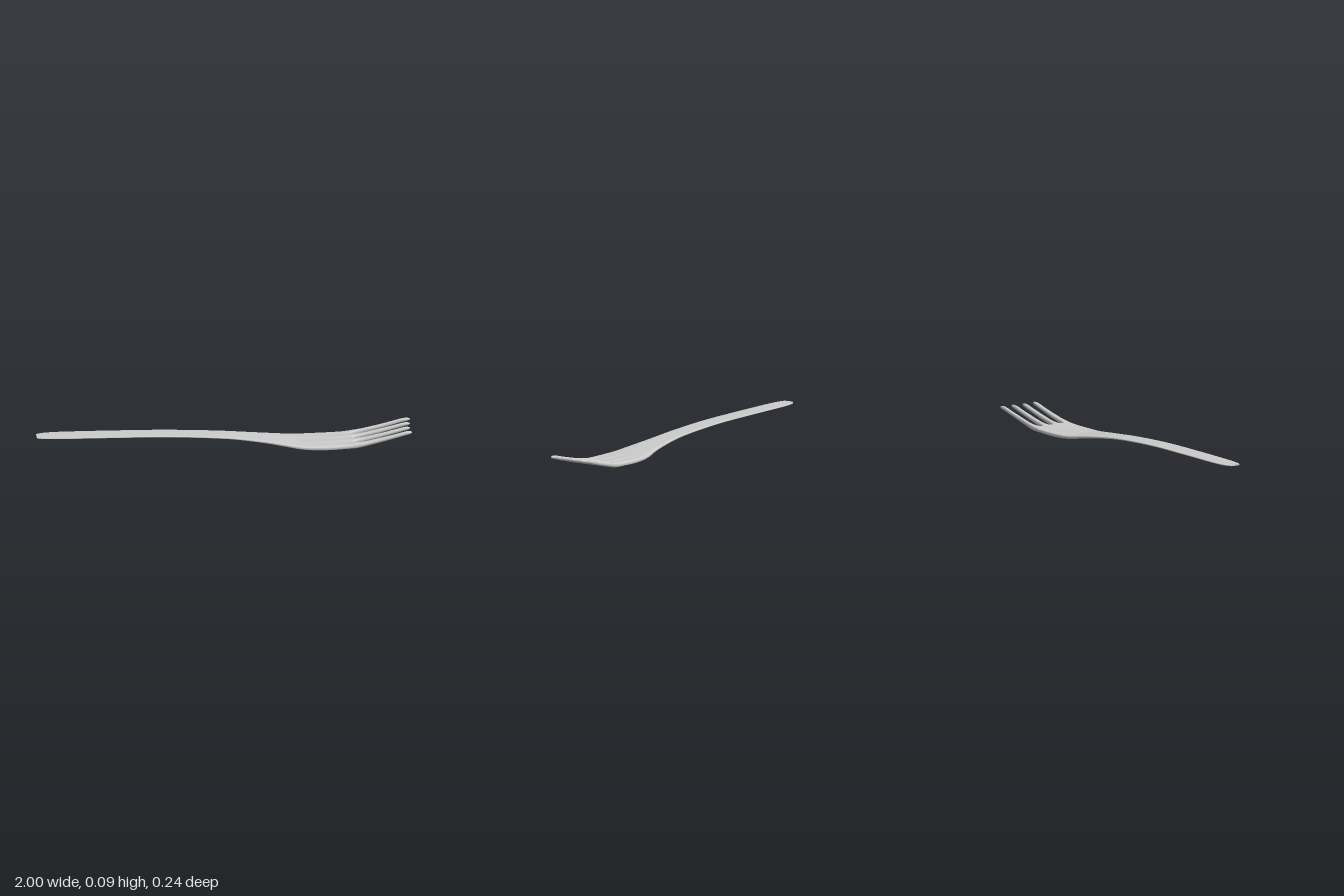
import * as THREE from 'three';

// Smooth interpolation through [x, value] pairs
function track(pts) {
  const slope = (i) => {
    const a = pts[Math.max(i - 1, 0)], b = pts[Math.min(i + 1, pts.length - 1)];
    return (b[1] - a[1]) / (b[0] - a[0]);
  };
  return (x) => {
    let i = 0;
    while (i < pts.length - 2 && x > pts[i + 1][0]) i++;
    const [x0, v0] = pts[i], [x1, v1] = pts[i + 1], h = x1 - x0;
    const u = THREE.MathUtils.clamp((x - x0) / h, 0, 1), w = 1 - u;
    return v0 * (1 + 2 * u) * w * w + slope(i) * h * u * w * w
      + v1 * u * u * (3 - 2 * u) - slope(i + 1) * h * u * u * w;
  };
}

const ROOT = 0.677; // where the slots begin

// Centre height, half thickness and the two edges along the length
const height = track([[-1, 0.09], [-0.6, 0.089], [-0.3, 0.085], [0, 0.069], [0.2, 0.047], [0.3, 0.033],
  [0.4, 0.019], [0.5, 0.0145], [0.6, 0.0155], [0.7, 0.022], [0.8, 0.042], [0.9, 0.066], [0.96, 0.081], [1, 0.086]]);
const thick = track([[-1, 0.004], [-0.3, 0.0045], [0, 0.0055], [0.2, 0.008], [0.35, 0.011],
  [0.5, 0.0145], [0.7, 0.0135], [0.85, 0.0115], [1, 0.01]]);
const backEdge = track([[-1, -0.076], [-0.975, -0.09], [-0.93, -0.098], [-0.85, -0.1], [-0.6, -0.091], [-0.3, -0.079],
  [0, -0.072], [0.1, -0.073], [0.2, -0.08], [0.3, -0.092], [0.4, -0.113], [0.5, -0.122], [0.6, -0.123], [0.7, -0.121],
  [0.8, -0.116], [1, -0.114]]);
const frontEdge = track([[-1, -0.015], [-0.975, -0.006], [-0.93, 0.002], [-0.85, 0.009], [-0.6, 0.02], [-0.3, 0.032],
  [0, 0.045], [0.1, 0.053], [0.2, 0.067], [0.3, 0.087], [0.4, 0.108], [0.5, 0.116], [0.6, 0.117], [0.7, 0.114],
  [0.8, 0.113], [1, 0.114]]);

// Centre lines of the three slots
const slots = [[-0.074, -0.07], [-0.006, -0.002], [0.061, 0.068]].map(([a, b]) => track([[ROOT, a], [1, b]]));

// Skin over cross-sections; section(x) gives { back, front, y, t, power, groove }
function loft(xs, sides, section) {
  const pos = [], idx = [], rings = xs.length;
  const ring = (x) => {
    const s = section(x);
    for (let j = 0; j < sides; j++) {
      const a = (j / sides) * Math.PI * 2, c = Math.cos(a), up = Math.sign(Math.sin(a));
      const z = (s.front + s.back) / 2 + c * (s.front - s.back) / 2;
      let r = Math.pow(Math.max(0, 1 - Math.pow(Math.abs(c), s.power)), 1 / s.power) * s.t;
      if (s.groove) r *= 1 - s.groove(z) * (up > 0 ? 1 : 0.4);
      pos.push(x, s.y + up * r, z);
    }
  };
  xs.forEach(ring);
  for (let i = 0; i < rings - 1; i++) {
    for (let j = 0; j < sides; j++) {
      const k = (j + 1) % sides, a = i * sides, b = a + sides;
      idx.push(a + j, b + j, a + k, b + j, b + k, a + k);
    }
  }
  // end caps with their own vertices, for a crisp edge
  for (const end of [0, 1]) {
    const x = xs[end ? rings - 1 : 0], s = section(x), base = pos.length / 3;
    ring(x);
    pos.push(x, s.y, (s.front + s.back) / 2);
    for (let j = 0; j < sides; j++) {
      const k = (j + 1) % sides;
      idx.push(base + sides, base + (end ? k : j), base + (end ? j : k));
    }
  }
  const g = new THREE.BufferGeometry();
  g.setAttribute('position', new THREE.Float32BufferAttribute(pos, 3));
  g.setIndex(idx);
  g.computeVertexNormals();
  return g;
}

const span = (a, b, n) => Array.from({ length: n + 1 }, (_, i) => a + (b - a) * i / n);

export function createModel() {
  const group = new THREE.Group();
  const material = new THREE.MeshStandardMaterial({ color: 0xcccccc, roughness: 0.5 });
  const add = (name, geometry) => {
    const mesh = new THREE.Mesh(geometry, material);
    mesh.name = name;
    group.add(mesh);
  };

  // Handle flowing into the bowl, with soft grooves leading to the slots
  add('handleAndBowl', loft(span(-1, ROOT, 130), 72, (x) => {
    const depth = 0.3 * THREE.MathUtils.smoothstep(x, 0.3, ROOT);
    return {
      back: backEdge(x), front: frontEdge(x), y: height(x), t: thick(x), power: 4,
      groove: (z) => depth * slots.reduce((m, s) => Math.max(m, Math.exp(-(((z - s(x)) / 0.014) ** 2))), 0),
    };
  }));

  // Four tines, wide at the root so the slots end round, narrowing to blunt tips
  const tips = [1, 0.992, 0.985, 0.988];
  tips.forEach((tip, n) => {
    // rings crowd together at the slot end and at the tip
    const xs = [...span(0.58, ROOT, 8),
      ...span(0, 1, 48).slice(1).map((u) => ROOT + (tip - ROOT) * (0.5 - 0.5 * Math.cos(Math.PI * u)))];
    add('tine' + (n + 1), loft(xs, 28, (x) => {
      const u = THREE.MathUtils.clamp((x - ROOT) / 0.07, 0, 1);
      const gap = 0.021 * Math.sqrt(u * (2 - u)) + 0.003 * THREE.MathUtils.smoothstep(x, 0.75, 1);
      const back = n === 0 ? backEdge(x) : slots[n - 1](x) + gap;
      const front = n === 3 ? frontEdge(x) : slots[n](x) - gap;
      const v = THREE.MathUtils.clamp((x - tip + 0.05) / 0.05, 0, 1);
      const round = Math.max(0.02, Math.sqrt(1 - v * v * v));
      const mid = (back + front) / 2, half = (front - back) / 2 * round;
      const rise = 0.6 + 0.4 * THREE.MathUtils.smoothstep(x, 0.58, 0.69);
      return {
        back: mid - half, front: mid + half, y: height(x),
        t: thick(x) * rise * round, power: 3 - 0.8 * u,
      };
    }));
  });

  return group;
}
